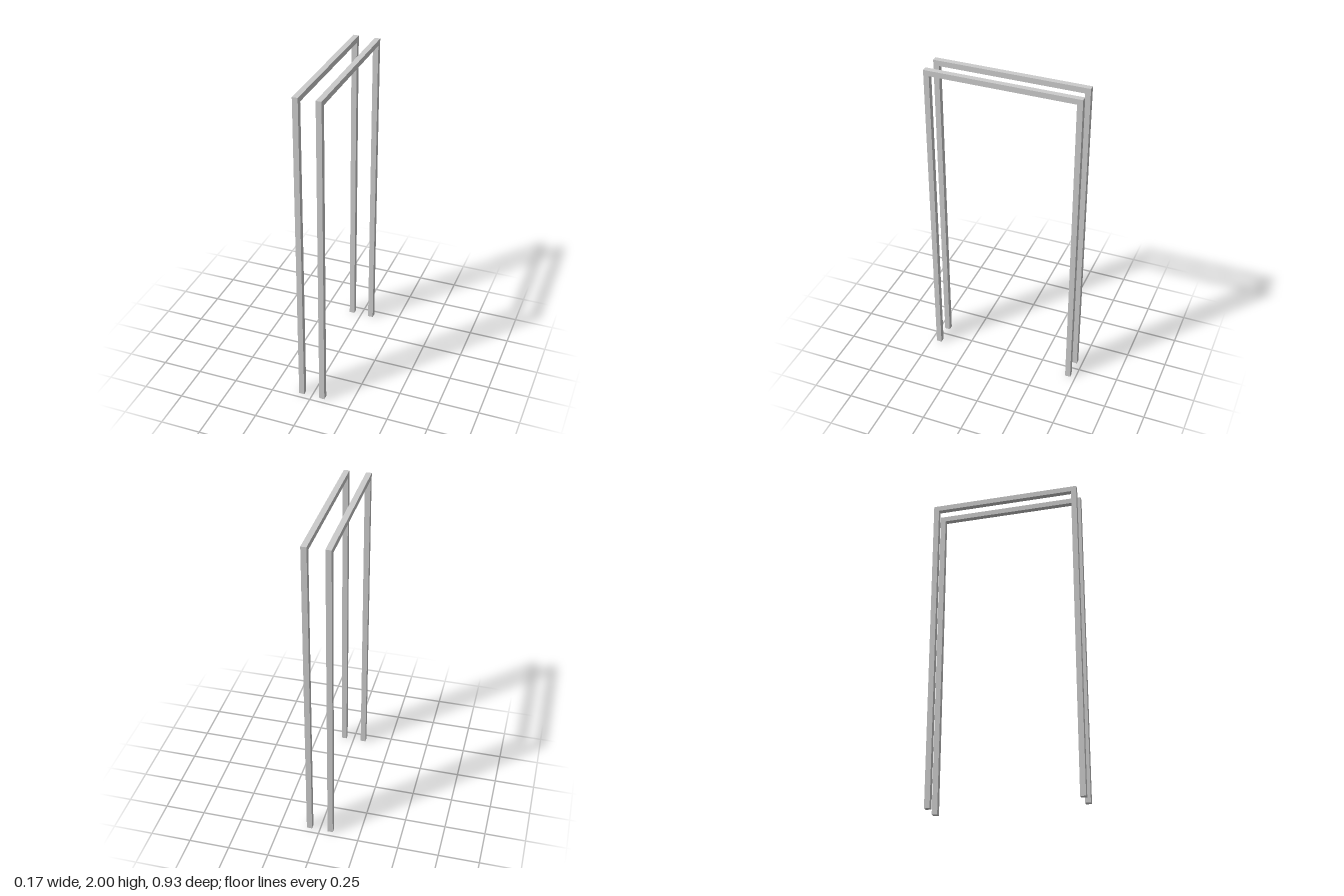
import * as THREE from 'three';

const BAR = 1 / 30;      // square bar thickness
const HEIGHT = 2;
const HALF_DEPTH = 14 * BAR;
const OFFSET = 2 * BAR;  // bar centre from the middle plane

export function createModel() {
  const model = new THREE.Group();
  model.name = 'twinFrame';
  const material = new THREE.MeshStandardMaterial({ color: 0xcccccc });

  // Upside-down U outline: two legs joined by a top rail
  const outer = HALF_DEPTH;
  const inner = HALF_DEPTH - BAR;
  const outline = new THREE.Shape([
    [-outer, 0], [-inner, 0], [-inner, HEIGHT - BAR], [inner, HEIGHT - BAR],
    [inner, 0], [outer, 0], [outer, HEIGHT], [-outer, HEIGHT],
  ].map(([z, y]) => new THREE.Vector2(z, y)));

  // Extrude to bar width and turn so the frame runs along z
  const geometry = new THREE.ExtrudeGeometry(outline, { depth: BAR, bevelEnabled: false });
  geometry.translate(0, 0, -BAR / 2);
  geometry.rotateY(Math.PI / 2);

  // Matching frames on both sides
  for (const [name, side] of [['leftFrame', 1], ['rightFrame', -1]]) {
    const frame = new THREE.Mesh(geometry, material);
    frame.name = name;
    frame.position.x = side * OFFSET;
    model.add(frame);
  }
  return model;
}
